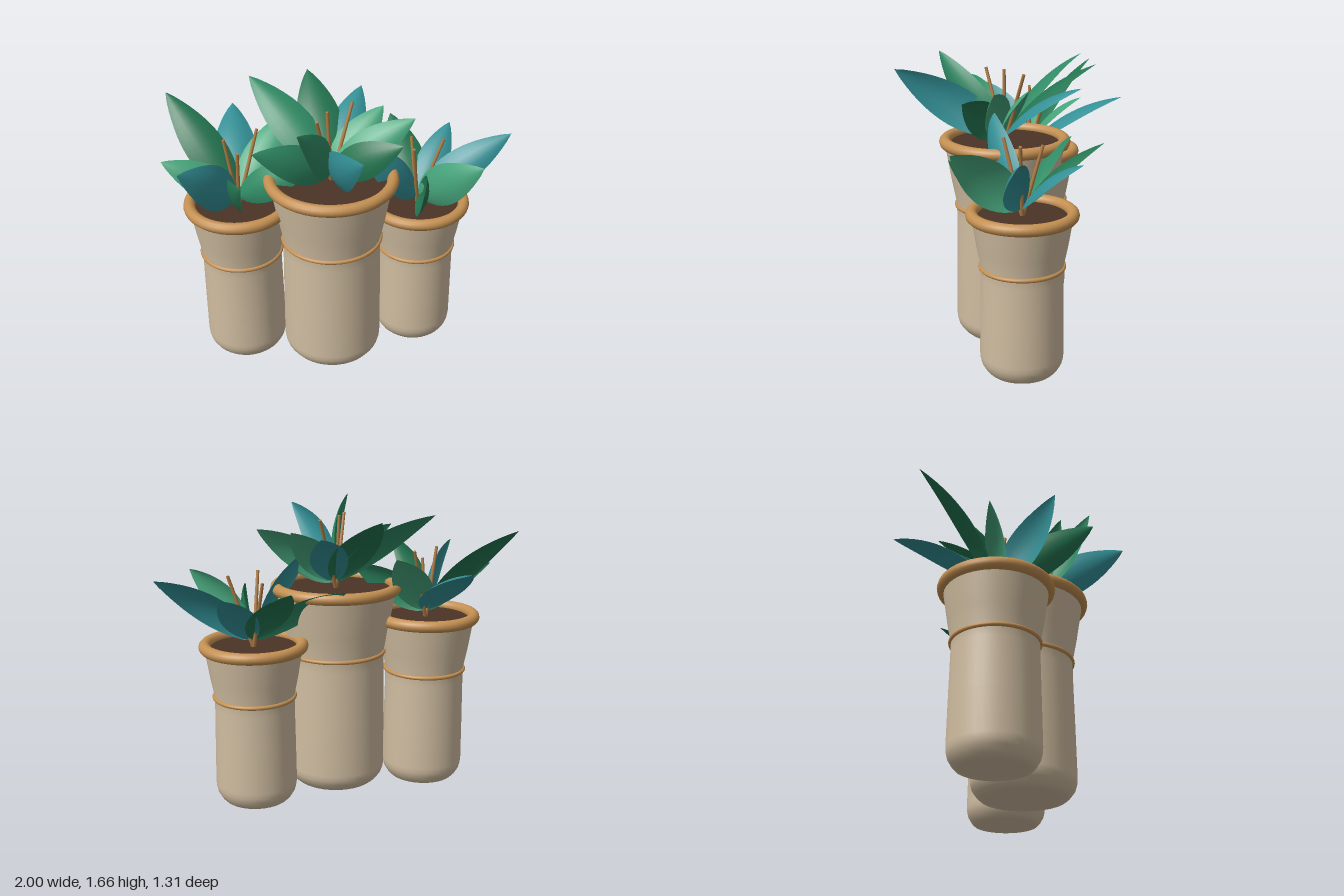
import * as THREE from 'three';

const mat = (color, side = THREE.FrontSide) => new THREE.MeshStandardMaterial({ color, side });
const clay = mat(0xcfbca0);
const trim = mat(0xc49052);
const soilMat = mat(0x4a3426);
const stemMat = mat(0xb07d45);
const leafMats = {
  dark: mat(0x237450, THREE.DoubleSide),
  mid: mat(0x2f8a64, THREE.DoubleSide),
  light: mat(0x46a57c, THREE.DoubleSide),
  blue: mat(0x328f95, THREE.DoubleSide),
};

const UP = new THREE.Vector3(0, 1, 0);

function part(parent, name, geometry, material, x = 0, y = 0, z = 0) {
  const mesh = new THREE.Mesh(geometry, material);
  mesh.name = name;
  mesh.position.set(x, y, z);
  parent.add(mesh);
}

// Flared vase with rounded foot, thick rim, thin band and soil. r: body radius, h: rim height
function makePot(r, h, rimR, tube) {
  const pot = new THREE.Group();
  pot.name = 'pot';
  const top = rimR - tube * 0.9;
  const profile = [
    [0, 0.014], [r * 0.7, 0.014], [r * 0.73, 0], [r * 0.81, 0.003], [r * 0.88, 0.02],
    [r * 0.96, 0.052], [r * 0.99, 0.08], [r, 0.11], [r * 0.985, h * 0.35], [r * 0.965, h * 0.62],
    [r * 0.97, h * 0.69], [r + (top - r) * 0.3, h * 0.8],
    [r + (top - r) * 0.68, h * 0.91], [top, h],
  ].map(([x, y]) => new THREE.Vector2(x, y));
  part(pot, 'vaseBody', new THREE.LatheGeometry(profile, 40), clay);

  const ring = (radius, thick) => new THREE.TorusGeometry(radius, thick, 12, 48).rotateX(Math.PI / 2);
  part(pot, 'rim', ring(rimR - tube, tube), trim, 0, h, 0);
  part(pot, 'band', ring(r * 0.97, 0.012), trim, 0, h * 0.68, 0);
  part(pot, 'soil', new THREE.CylinderGeometry(top - 0.005, top - 0.015, 0.03, 40), soilMat, 0, h - 0.022, 0);
  return pot;
}

// Pointed, slightly cupped blade from base to tip, bowed along its length;
// blades roll further about their axis the more they point to the front
function makeLeaf(base, tip, width) {
  const span = tip.clone().sub(base);
  const length = span.length();
  const rows = 14, cols = 6;
  const geo = new THREE.PlaneGeometry(1, 1, cols, rows);
  const pos = geo.attributes.position;
  for (let i = 0; i < pos.count; i++) {
    const s = pos.getX(i) * 2;
    const u = pos.getY(i) + 0.5;
    const half = (width / 2) * Math.pow(Math.sin(Math.PI * Math.pow(u, 0.85)), 0.85) + 0.008 * (1 - u);
    const bow = 0.09 * length * 4 * u * (1 - u);
    pos.setXYZ(i, s * half, u * length, bow - 0.3 * half * s * s);
  }
  geo.computeVertexNormals();
  geo.rotateY(0.4 * Math.atan2(-span.x, -span.z));
  geo.applyQuaternion(new THREE.Quaternion().setFromUnitVectors(UP, span.normalize()));
  return geo.translate(base.x, base.y, base.z);
}

// Straight woody stem between two points
function makeStem(a, b) {
  const span = b.clone().sub(a);
  const geo = new THREE.CylinderGeometry(0.009, 0.012, span.length(), 8);
  geo.applyQuaternion(new THREE.Quaternion().setFromUnitVectors(UP, span.normalize()));
  const mid = a.clone().add(b).multiplyScalar(0.5);
  return geo.translate(mid.x, mid.y, mid.z);
}

// Leaves: tip x, y, z, width, shade. Stems: tip x, y, z
const planters = [
  {
    name: 'middlePlanter', x: -0.07, z: 0.035, r: 0.293, h: 1.18, rimR: 0.38, tube: 0.034,
    leaves: [
      [0.01, 1.6, 0.65, 0.22, 'blue'], [-0.29, 1.665, 0.44, 0.2, 'mid'],
      [-0.51, 1.49, 0.27, 0.2, 'mid'], [-0.48, 1.63, -0.4, 0.23, 'mid'],
      [-0.14, 1.615, -0.48, 0.25, 'dark'], [0.165, 1.53, -0.4, 0.2, 'blue'],
      [0.245, 1.53, -0.12, 0.2, 'light'], [0.39, 1.53, 0.06, 0.2, 'light'],
      [0.29, 1.46, 0.24, 0.2, 'dark'],
    ],
    stems: [[0.065, 1.585, -0.08], [-0.09, 1.59, 0.04], [-0.16, 1.59, 0.15]],
  },
  {
    name: 'rightPlanter', x: -0.59, z: -0.085, r: 0.24, h: 0.995, rimR: 0.315, tube: 0.034,
    leaves: [
      [-0.957, 1.53, -0.465, 0.22, 'dark'], [-0.58, 1.345, -0.66, 0.24, 'blue'],
      [-0.26, 1.4, -0.4, 0.2, 'light'], [-1.0, 1.285, -0.09, 0.19, 'light'],
      [-0.9, 1.38, 0.24, 0.24, 'blue'], [-0.58, 1.39, 0.445, 0.19, 'dark'],
      [-0.19, 1.3, 0.08, 0.19, 'mid'],
    ],
    stems: [[-0.65, 1.4, -0.08], [-0.46, 1.4, -0.19], [-0.58, 1.33, -0.04]],
  },
  {
    name: 'leftPlanter', x: 0.46, z: -0.095, r: 0.233, h: 0.91, rimR: 0.305, tube: 0.033,
    leaves: [
      [0.995, 1.31, -0.1, 0.2, 'blue'], [0.71, 1.25, -0.41, 0.18, 'blue'],
      [0.365, 1.28, -0.52, 0.22, 'dark'], [0, 1.23, -0.35, 0.22, 'mid'],
      [0.05, 1.4, 0.11, 0.2, 'blue'], [0.4, 1.18, 0.305, 0.23, 'dark'],
      [0.74, 1.295, 0.25, 0.23, 'light'],
    ],
    stems: [[0.4, 1.31, 0.01], [0.595, 1.31, -0.09], [0.43, 1.28, -0.2]],
  },
];

export function createModel() {
  const model = new THREE.Group();
  model.name = 'plantedVases';
  for (const p of planters) {
    const planter = new THREE.Group();
    planter.name = p.name;
    model.add(planter);

    const pot = makePot(p.r, p.h, p.rimR, p.tube);
    pot.position.set(p.x, 0, p.z);
    planter.add(pot);

    // Leaves spring from a crown just above the soil
    const crown = new THREE.Vector3(p.x, p.h + 0.035, p.z);
    for (const [x, y, z, width, shade] of p.leaves) {
      part(planter, 'leaf', makeLeaf(crown, new THREE.Vector3(x, y, z), width), leafMats[shade]);
    }
    const root = new THREE.Vector3(p.x, p.h - 0.015, p.z);
    for (const tip of p.stems) {
      part(planter, 'stem', makeStem(root, new THREE.Vector3(...tip)), stemMat);
    }
  }
  return model;
}
